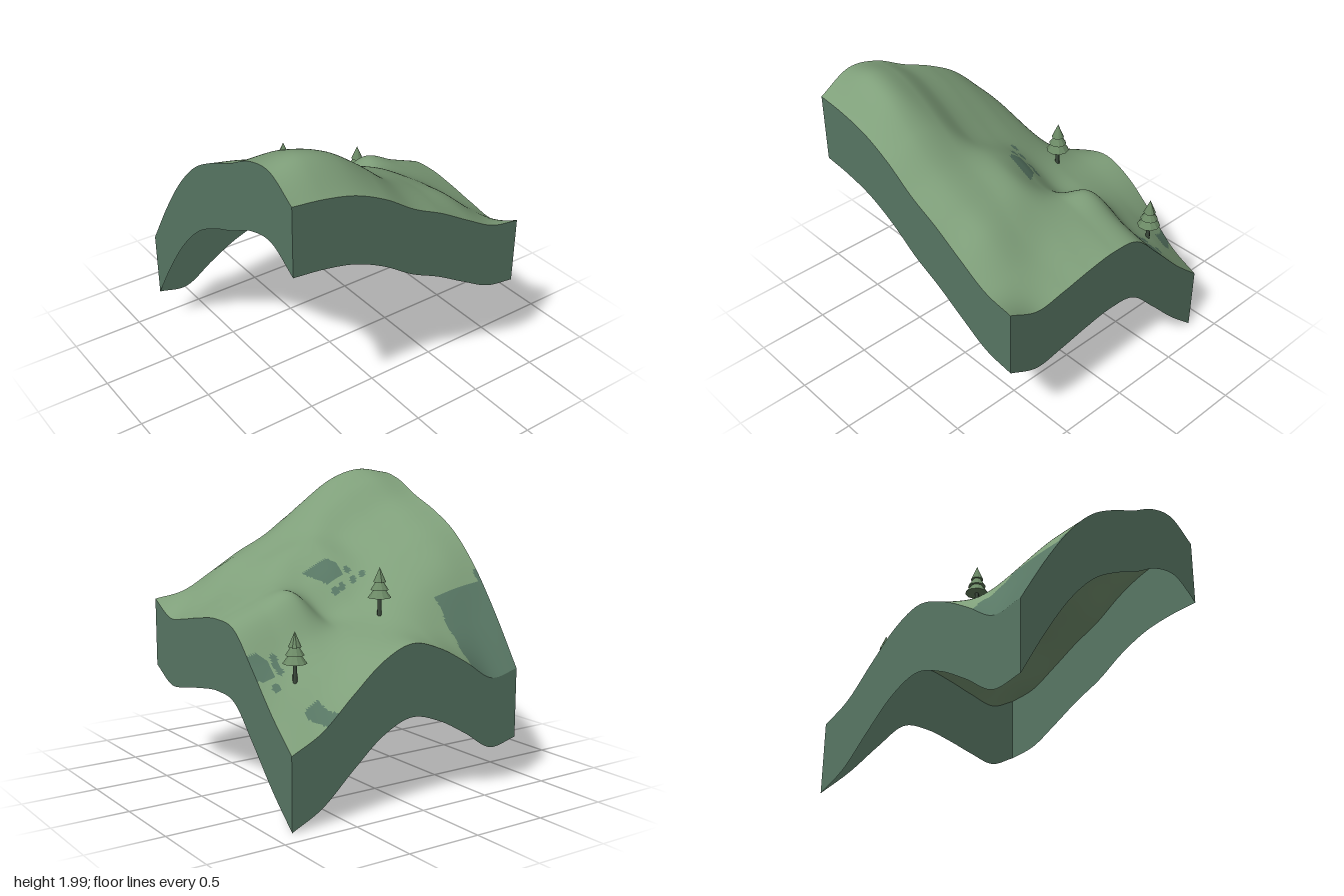
import * as THREE from 'three';

const HALF = 0.87, N = 120, SKIRT = 0.463;

const material = (name, color, extra = {}) => {
  const m = new THREE.MeshStandardMaterial({ color, ...extra });
  m.name = name;
  return m;
};

// Control heights: one row per x (low to high), each running from back to front
const HEIGHTS = [
  [0.465, 0.575, 0.765, 0.94, 1.025, 0.97, 0.855, 0.725, 0.76],
  [0.66, 0.77, 0.88, 0.99, 1.05, 1.06, 1.04, 1.04, 1.095],
  [0.89, 0.94, 1.03, 1.06, 1.11, 1.20, 1.29, 1.36, 1.385],
  [1.10, 1.18, 1.27, 1.13, 1.20, 1.33, 1.45, 1.55, 1.60],
  [1.135, 1.22, 1.29, 1.30, 1.40, 1.45, 1.57, 1.68, 1.73],
  [1.11, 1.22, 1.33, 1.45, 1.53, 1.57, 1.69, 1.79, 1.825],
  [1.07, 1.20, 1.36, 1.47, 1.58, 1.73, 1.86, 1.94, 1.935],
  [1.045, 1.20, 1.375, 1.48, 1.60, 1.775, 1.925, 1.99, 1.965],
  [1.145, 1.185, 1.30, 1.425, 1.53, 1.67, 1.77, 1.82, 1.845],
];

// Catmull-Rom through a list, with linear continuation past the ends
function spline(list, t) {
  const last = list.length - 1;
  const i = Math.min(Math.floor(t), last - 1), f = t - i;
  const b = list[i], c = list[i + 1];
  const a = i > 0 ? list[i - 1] : 2 * b - c;
  const d = i + 2 <= last ? list[i + 2] : 2 * c - b;
  return b + 0.5 * f * (c - a + f * (2 * a - 5 * b + 4 * c - d + f * (3 * (b - c) + d - a)));
}

function heightAt(x, z) {
  const toGrid = (v) => THREE.MathUtils.clamp((v + HALF) / (2 * HALF), 0, 1) * 8;
  return spline(HEIGHTS.map((row) => spline(row, toGrid(z))), toGrid(x));
}

// Darker ground patches: polygons and small round spots in plan (x, z)
const PATCHES = [
  [[-0.075, 0.04], [-0.075, -0.08], [0.065, -0.195], [0.065, 0.0], [0.01, 0.045]],
  [[-0.51, -0.76], [-0.51, -0.84], [-0.48, -0.88], [-0.37, -0.88], [-0.37, -0.8], [-0.42, -0.75]],
  [[-0.88, -0.53], [-0.88, -0.61], [-0.77, -0.7], [-0.73, -0.69], [-0.73, -0.6], [-0.81, -0.58]],
  [[-0.52, 0.88], [-0.5, 0.84], [-0.46, 0.83], [-0.44, 0.88]],
];
const SPOTS = [
  [-0.125, -0.055], [-0.125, -0.003], [-0.125, 0.087], [-0.125, 0.16], [-0.055, 0.087],
  [-0.56, -0.78], [-0.42, -0.71], [-0.49, -0.71], [-0.45, -0.72],
];

function inside(poly, x, z) {
  let hit = false;
  poly.forEach(([ax, az], i) => {
    const [bx, bz] = poly[(i + 1) % poly.length];
    if (az > z !== bz > z && x < ax + ((z - az) / (bz - az)) * (bx - ax)) hit = !hit;
  });
  return hit;
}

function isPatch(x, z) {
  const tooth = Math.abs(((x + 2) * 14) % 2 - 1) * 0.022;
  if (x < -0.51 && z > 0.46 + tooth) return true;
  return SPOTS.some(([sx, sz]) => Math.hypot(x - sx, z - sz) < 0.024)
    || PATCHES.some((p) => inside(p, x, z));
}

const coord = (i) => -HALF + (2 * HALF * i) / N;

// Rolling surface, split into grass and patch faces
function makeTerrain(grass, slate) {
  const pos = [], faces = [[], []];
  for (let i = 0; i <= N; i++)
    for (let j = 0; j <= N; j++) pos.push(coord(i), heightAt(coord(i), coord(j)), coord(j));
  const addFace = (...tri) => {
    const mid = (k) => tri.reduce((s, v) => s + pos[v * 3 + k], 0) / 3;
    faces[isPatch(mid(0), mid(2)) ? 1 : 0].push(...tri);
  };
  for (let i = 0; i < N; i++)
    for (let j = 0; j < N; j++) {
      const a = i * (N + 1) + j, b = a + 1, c = a + N + 1, d = c + 1;
      addFace(a, b, c);
      addFace(b, d, c);
    }
  const g = new THREE.BufferGeometry();
  g.setAttribute('position', new THREE.Float32BufferAttribute(pos, 3));
  g.setIndex([...faces[0], ...faces[1]]);
  g.addGroup(0, faces[0].length, 0);
  g.addGroup(faces[0].length, faces[1].length, 1);
  g.computeVertexNormals();
  const mesh = new THREE.Mesh(g, [grass, slate]);
  mesh.name = 'terrain';
  return mesh;
}

// Skirt wall hanging from one edge; at(s) gives plan position for s in -HALF..HALF
function makeWall(name, at, mat) {
  const pos = [], index = [];
  for (let i = 0; i <= N; i++) {
    const [x, z] = at(coord(i)), y = heightAt(x, z);
    pos.push(x, y, z, x, y - SKIRT, z);
    const k = i * 2;
    if (i < N) index.push(k, k + 1, k + 2, k + 1, k + 3, k + 2);
  }
  const g = new THREE.BufferGeometry();
  g.setAttribute('position', new THREE.Float32BufferAttribute(pos, 3));
  g.setIndex(index);
  g.computeVertexNormals();
  const mesh = new THREE.Mesh(g, mat);
  mesh.name = name;
  return mesh;
}

// Conifer: thin trunk and three stacked cones
function makeTree(x, z, leaf, bark) {
  const tree = new THREE.Group();
  tree.name = 'tree';
  const trunk = new THREE.Mesh(new THREE.CylinderGeometry(0.012, 0.015, 0.15, 8), bark);
  trunk.position.y = 0.075;
  trunk.name = 'trunk';
  tree.add(trunk);
  [[0.076, 0.125, 0.1], [0.058, 0.175, 0.09], [0.041, 0.225, 0.095]].forEach(([r, base, h]) => {
    const cone = new THREE.Mesh(new THREE.ConeGeometry(r, h, 10), leaf);
    cone.position.y = base + h / 2;
    cone.name = 'foliage';
    tree.add(cone);
  });
  tree.position.set(x, heightAt(x, z) - 0.015, z);
  return tree;
}

export function createModel() {
  const model = new THREE.Group();
  model.name = 'hillside';
  const grass = material('grass green', 0x7f9f7a, { side: THREE.DoubleSide });
  const slate = material('slate green', 0x587764, { side: THREE.DoubleSide });
  const leaf = material('leaf green', 0x6c8a66, { flatShading: true });
  const bark = material('dark bark', 0x3c4a3c);

  model.add(makeTerrain(grass, slate));
  model.add(
    makeWall('frontWall', (s) => [s, HALF], slate),
    makeWall('backWall', (s) => [-s, -HALF], slate),
    makeWall('leftWall', (s) => [HALF, -s], slate),
    makeWall('rightWall', (s) => [-HALF, s], slate),
  );
  model.add(makeTree(-0.58, -0.66, leaf, bark), makeTree(-0.44, 0.07, leaf, bark));
  return model;
}
